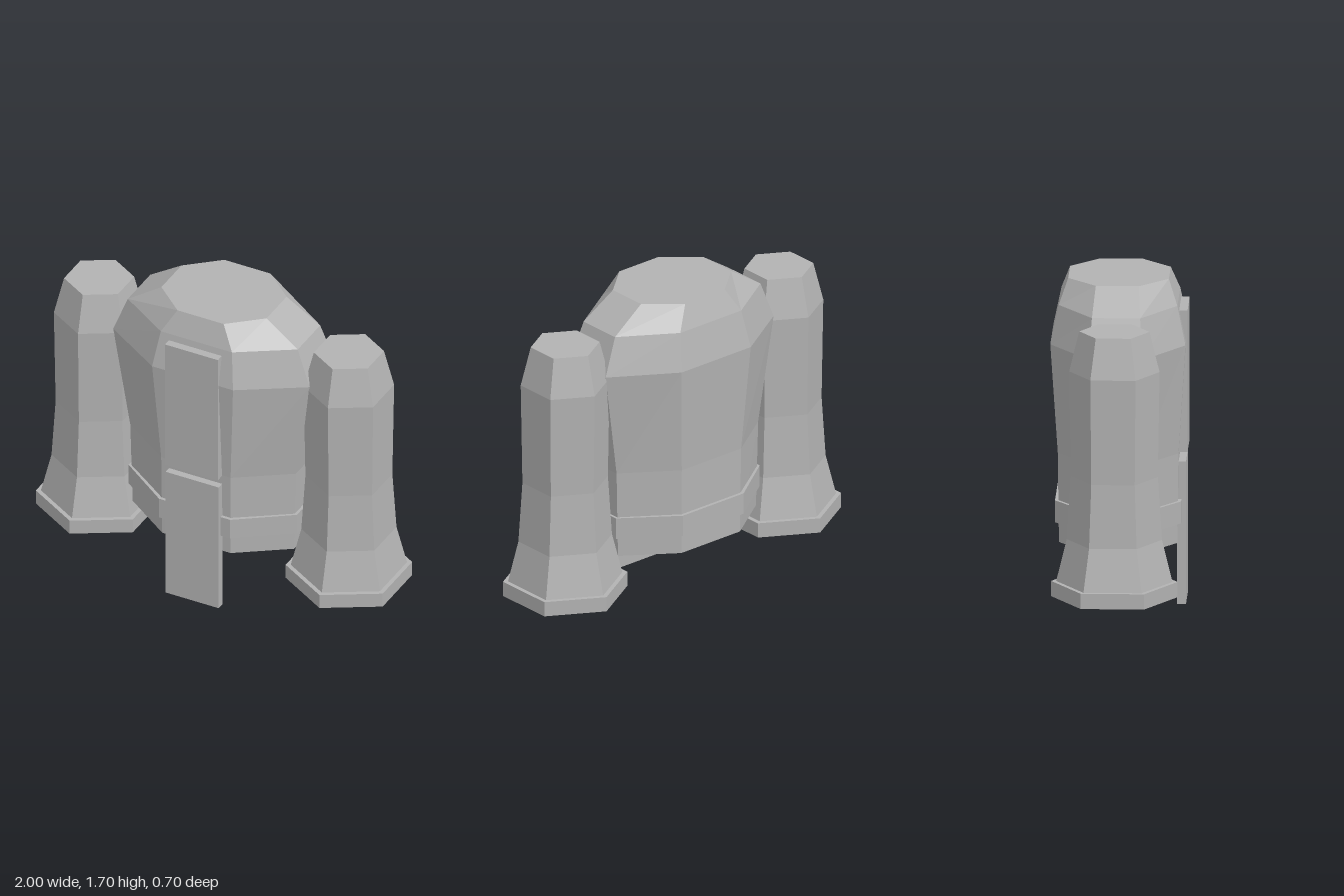
import * as THREE from 'three';

const grey = new THREE.MeshStandardMaterial({ color: 0xb2b2b2 });
grey.name = 'plain grey';
grey.flatShading = true;
grey.side = THREE.DoubleSide; // the torso is an open shell
const MID_Z = -0.004;

// Joins cross-sections listed from bottom to top; corners run counter-clockwise seen from above.
function loft(sections, capBottom, capTop) {
  const pos = [];
  const tri = (a, b, c) => pos.push(...a, ...b, ...c);
  const n = sections[0].length;
  for (let s = 0; s < sections.length - 1; s++) {
    for (let i = 0; i < n; i++) {
      const j = (i + 1) % n;
      const [a, b] = [sections[s][i], sections[s][j]];
      const [c, d] = [sections[s + 1][j], sections[s + 1][i]];
      tri(a, b, c);
      tri(a, c, d);
    }
  }
  const top = sections[sections.length - 1];
  const bottom = sections[0];
  for (let i = 1; i < n - 1; i++) {
    if (capTop) tri(top[0], top[i], top[i + 1]);
    if (capBottom) tri(bottom[0], bottom[i + 1], bottom[i]);
  }
  const geo = new THREE.BufferGeometry();
  geo.setAttribute('position', new THREE.Float32BufferAttribute(pos, 3));
  geo.computeVertexNormals();
  return geo;
}

// Octagon: half width, half depth, half width of the front facet, half depth of the side facet
function octagon([y, w, d, fw, sd]) {
  return [[w, sd], [w, -sd], [fw, -d], [-fw, -d], [-w, -sd], [-w, sd], [-fw, d], [fw, d]]
    .map(([x, z]) => [x, y, z + MID_Z]);
}

// Hexagon with corners pointing forward and back
function hexagon([y, r]) {
  return Array.from({ length: 6 }, (_, i) => {
    const a = i * Math.PI / 3;
    return [r * Math.sin(a), y, r * Math.cos(a)];
  });
}

function add(parent, name, geometry) {
  const mesh = new THREE.Mesh(geometry, grey);
  mesh.name = name;
  parent.add(mesh);
  return mesh;
}

export function createModel() {
  const model = new THREE.Group();
  model.name = 'robe';

  // Torso shell, open at the hem
  add(model, 'torso', loft([
    [0.33, 0.465, 0.302, 0.197, 0.117],
    [0.8, 0.477, 0.308, 0.2, 0.12],
    [1.375, 0.566, 0.345, 0.233, 0.138],
    [1.575, 0.49, 0.303, 0.205, 0.123],
    [1.7, 0.303, 0.257, 0.133, 0.11],
  ].map(octagon), false, true));

  // Belt band with narrow ledges above and below
  const inner = [0.464, 0.3, 0.197, 0.117];
  const outer = [0.485, 0.322, 0.205, 0.123];
  add(model, 'belt', loft([
    [0.435, ...inner], [0.435, ...outer], [0.55, ...outer], [0.55, ...inner],
  ].map(octagon), false, false));

  // Sleeves with flared cuffs
  for (const [side, sign] of [['left', 1], ['right', -1]]) {
    const sleeve = new THREE.Group();
    sleeve.name = side + 'Sleeve';
    sleeve.position.set(sign * 0.72, 0, MID_Z);
    add(sleeve, 'sleeveBody', loft([
      [0.25, 0.297], [0.47, 0.243], [0.8, 0.222], [1.35, 0.231], [1.56, 0.179],
    ].map(hexagon), false, true));
    add(sleeve, 'cuff', loft([[0.17, 0.323], [0.25, 0.323]].map(hexagon), true, true));
    model.add(sleeve);
  }

  // Two hanging panels down the front
  for (const [name, y0, y1, z0, z1] of [
    ['upperPanel', 0.797, 1.54, 0.298, 0.349],
    ['lowerPanel', 0, 0.747, 0.296, 0.341],
  ]) {
    const panel = add(model, name, new THREE.BoxGeometry(0.305, y1 - y0, z1 - z0));
    panel.position.set(-0.002, (y0 + y1) / 2, (z0 + z1) / 2);
  }

  return model;
}
